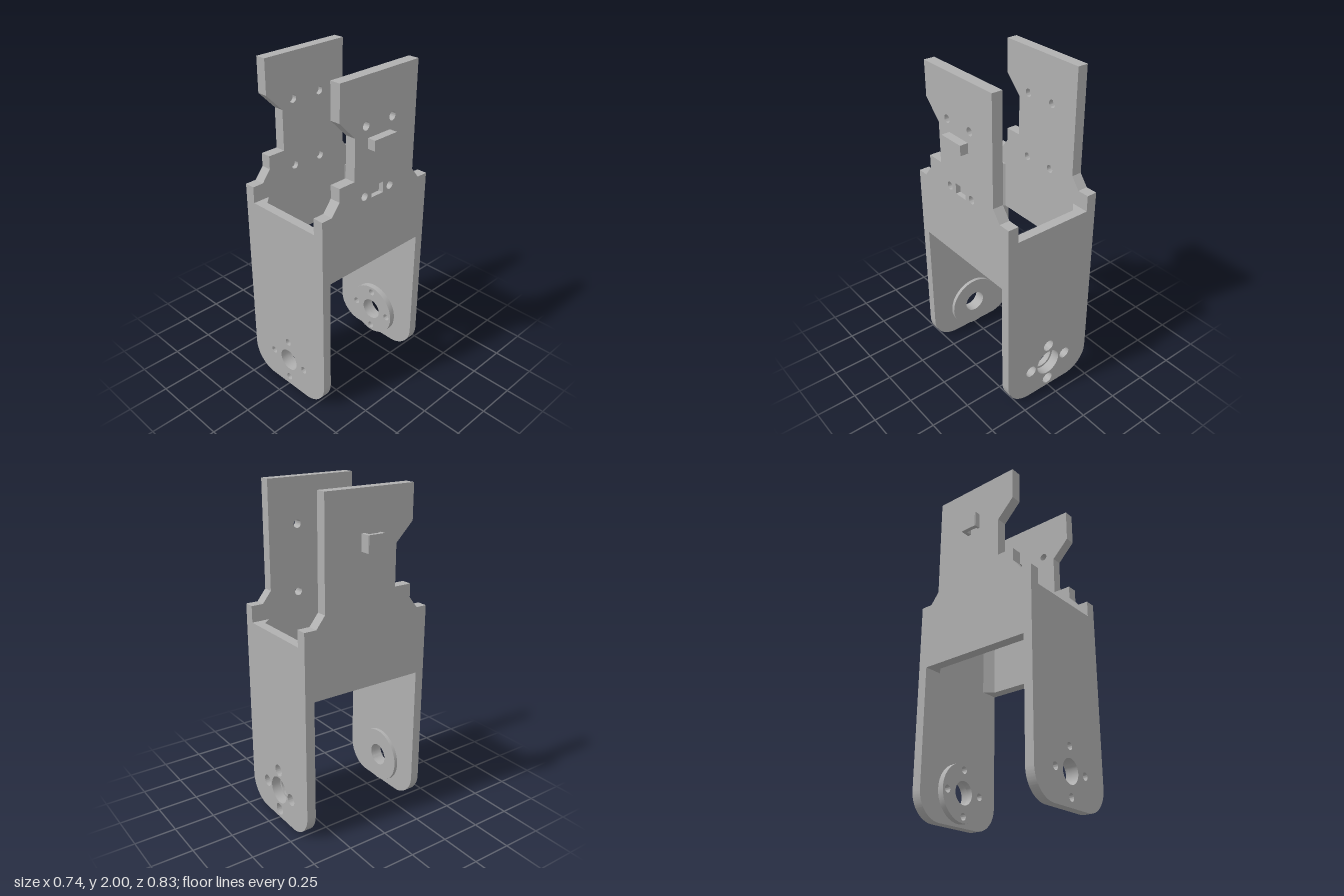
import * as THREE from 'three';
import { toCreasedNormals } from 'three/addons/utils/BufferGeometryUtils.js';

const CX = 0.0025, HOLE_Y = 0.19;

function polygon(points) {
  return new THREE.Shape(points.map(([a, b]) => new THREE.Vector2(a, b)));
}

function circleHole(shape, x, y, r) {
  const p = new THREE.Path();
  p.absarc(x, y, r, 0, Math.PI * 2, true);
  shape.holes.push(p);
}

function boltHoles(shape, r) {
  for (const [dx, dy] of [[0.135, 0], [-0.135, 0], [0, 0.135], [0, -0.135]]) {
    circleHole(shape, CX + dx, HOLE_Y + dy, r);
  }
}

function extrude(shape, depth) {
  const g = new THREE.ExtrudeGeometry(shape, { depth, bevelEnabled: false, curveSegments: 20 });
  return toCreasedNormals(g, 0.6);
}

// Plate with rounded lower corners and two raised ears at the top
function endPlateShape() {
  const l = -0.31, r = 0.315, c = 0.16;
  const s = new THREE.Shape();
  s.moveTo(l + c, 0);
  s.lineTo(r - c, 0);
  s.absarc(r - c, c, c, -Math.PI / 2, 0, false);
  s.lineTo(r, 1.29);
  s.lineTo(0.25, 1.29);
  s.lineTo(0.25, 1.19);
  s.lineTo(-0.245, 1.19);
  s.lineTo(-0.245, 1.29);
  s.lineTo(l, 1.29);
  s.lineTo(l, c);
  s.absarc(l + c, c, c, Math.PI, Math.PI * 1.5, false);
  return s;
}

// Side plate outline, drawn as (z, y)
function sideShape(withHoles, withSlot) {
  const s = polygon([
    [-0.362, 0.88], [0.36, 0.88], [0.36, 1.29], [0.345, 1.29], [0.29, 1.36], [0.29, 1.44],
    [0.18, 1.44], [0.18, 1.685], [0.29, 1.795], [0.29, 2], [-0.29, 2], [-0.29, 1.36],
    [-0.345, 1.29], [-0.362, 1.29],
  ]);
  if (withHoles) {
    for (const z of [-0.1, 0.1]) for (const y of [1.325, 1.73]) circleHole(s, z, y, 0.024);
  }
  if (withSlot) {
    s.holes.push(polygon([[-0.045, 1.3], [-0.045, 1.365], [0.045, 1.365], [0.045, 1.3]]));
  }
  return s;
}

export function createModel() {
  const model = new THREE.Group();
  model.name = 'bracket';
  const grey = new THREE.MeshStandardMaterial({ color: 0xb0b0b0 });
  grey.name = 'grey';

  const add = (name, geometry) => {
    const m = new THREE.Mesh(geometry, grey);
    m.name = name;
    model.add(m);
  };

  // Front and back plates
  const front = endPlateShape();
  circleHole(front, CX, HOLE_Y, 0.07);
  boltHoles(front, 0.022);
  add('frontPlate', extrude(front, 0.055).translate(0, 0, 0.36));

  const back = endPlateShape();
  circleHole(back, CX, HOLE_Y, 0.085);
  boltHoles(back, 0.037);
  add('backPlate', extrude(back, 0.058).translate(0, 0, -0.42));

  // Pivot bosses on the inner faces
  const boss = (bolts) => {
    const s = new THREE.Shape();
    s.absarc(CX, HOLE_Y, 0.173, 0, Math.PI * 2, false);
    circleHole(s, CX, HOLE_Y, 0.07);
    if (bolts) boltHoles(s, 0.022);
    return s;
  };
  add('frontBoss', extrude(boss(false), 0.022).translate(0, 0, 0.338));
  add('backBoss', extrude(boss(true), 0.037).translate(0, 0, -0.362));

  // Side plates in two layers, so that holes and slot can stop part way
  const layer = (name, x0, x1, holes, slot) =>
    add(name, extrude(sideShape(holes, slot), x1 - x0).rotateY(-Math.PI / 2).translate(x1, 0, 0));
  layer('leftSideInner', 0.25, 0.285, true, false);
  layer('leftSideOuter', 0.285, 0.315, true, true);
  layer('rightSideInner', -0.275, -0.245, true, false);
  layer('rightSideOuter', -0.31, -0.275, false, false);

  // Prism standing on a plan outline given as (x, z)
  const upright = (points, y0, y1) =>
    extrude(polygon(points.map(([x, z]) => [x, -z])), y1 - y0)
      .rotateX(-Math.PI / 2).translate(0, y0, 0);

  // Corner gussets
  for (const [x, dx] of [[0.25, -0.05], [-0.245, 0.05]]) {
    for (const [z, dz] of [[0.36, -0.052], [-0.362, 0.052]]) {
      add('cornerGusset', upright([[x, z], [x + dx, z], [x, z + dz]], 0.88, 1.19));
    }
  }

  // Stop block on the left side
  add('stopBlock', new THREE.BoxGeometry(0.05, 0.06, 0.168).translate(0.34, 1.63, 0));

  // Cable hook on the right side
  add('hook', upright([
    [-0.31, -0.057], [-0.365, -0.057], [-0.37, -0.052], [-0.37, 0.047], [-0.365, 0.052],
    [-0.332, 0.052], [-0.332, 0.04], [-0.345, 0.04], [-0.345, -0.035], [-0.31, -0.035],
  ], 1.668, 1.765));

  return model;
}
